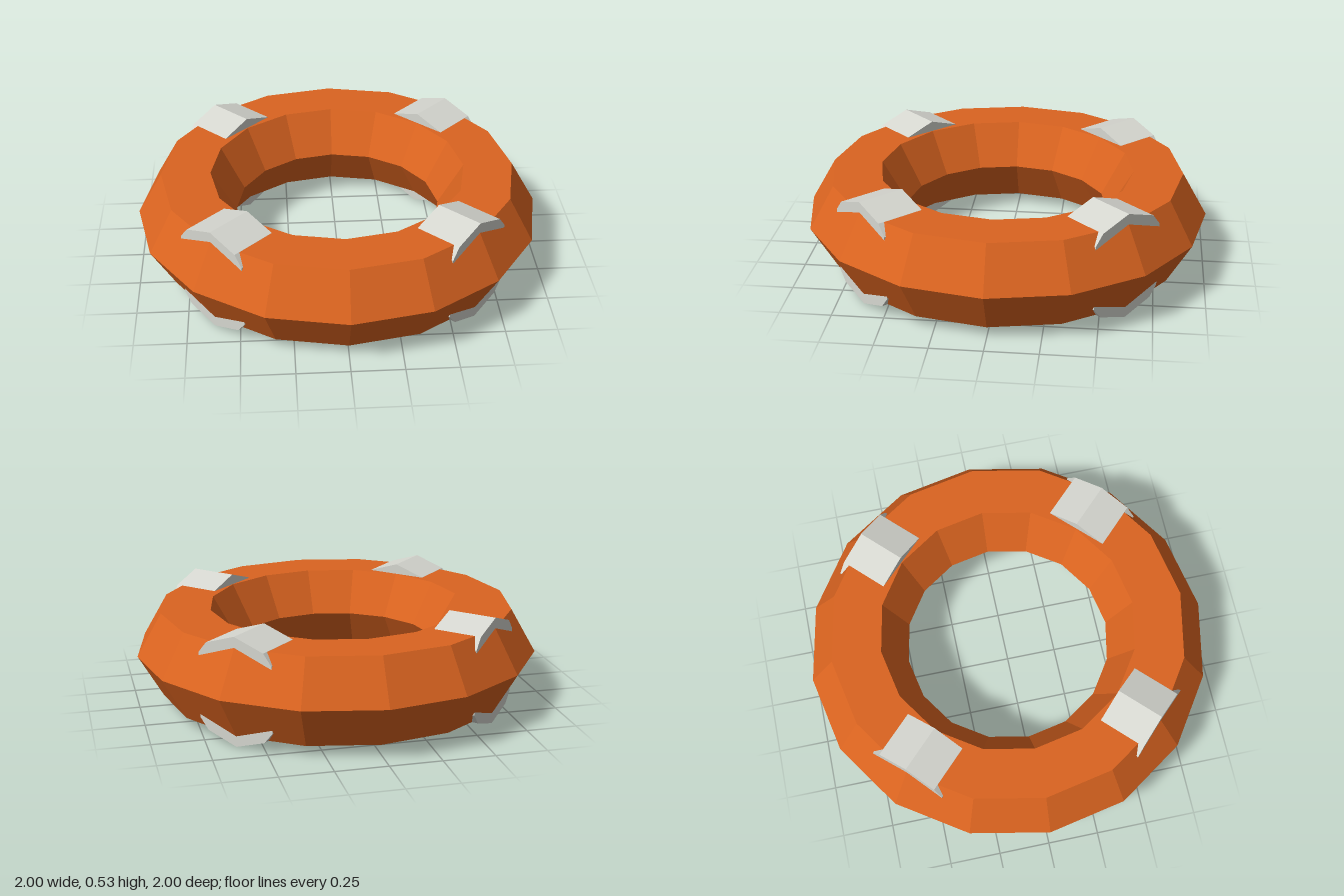
import * as THREE from 'three';

const CENTER_Y = 0.27;
const RING_RADIUS = 0.755;
const TUBE_RADIUS = 0.245;

export function createModel() {
  const model = new THREE.Group();
  model.name = 'bandedRing';

  const orange = new THREE.MeshStandardMaterial({ color: 0xdb6420 });
  orange.name = 'orange';
  orange.flatShading = true;
  const paleGrey = new THREE.MeshStandardMaterial({ color: 0xd6d7d0 });
  paleGrey.name = 'pale grey';
  paleGrey.flatShading = true;

  // Ring with a six-sided tube, lying flat
  const ringGeometry = new THREE.TorusGeometry(RING_RADIUS, TUBE_RADIUS, 6, 16);
  ringGeometry.rotateX(Math.PI / 2);
  const ring = new THREE.Mesh(ringGeometry, orange);
  ring.name = 'ring';
  ring.position.y = CENTER_Y;
  model.add(ring);

  // Gabled clip section, measured from the tube centre; its foot is sunk in the ring
  const section = new THREE.Shape([
    [0, 0.265], [-0.157, 0.213], [-0.2, 0.16], [-0.2, 0.1],
    [0.2, 0.1], [0.2, 0.16], [0.157, 0.213],
  ].map(([x, y]) => new THREE.Vector2(x, y)));
  const clipGeometry = new THREE.ExtrudeGeometry(section, { depth: 0.241, bevelEnabled: false });
  clipGeometry.translate(0, 0, 0.636);

  // Four pairs of clips on the diagonals, above and below
  for (let i = 0; i < 4; i++) {
    const pair = new THREE.Group();
    pair.name = 'clipPair' + (i + 1);
    pair.position.y = CENTER_Y;
    pair.rotation.y = Math.PI / 4 + i * Math.PI / 2;

    const upper = new THREE.Mesh(clipGeometry, paleGrey);
    upper.name = 'upperClip';
    const lower = new THREE.Mesh(clipGeometry, paleGrey);
    lower.name = 'lowerClip';
    lower.rotation.z = Math.PI;

    pair.add(upper, lower);
    model.add(pair);
  }
  return model;
}
